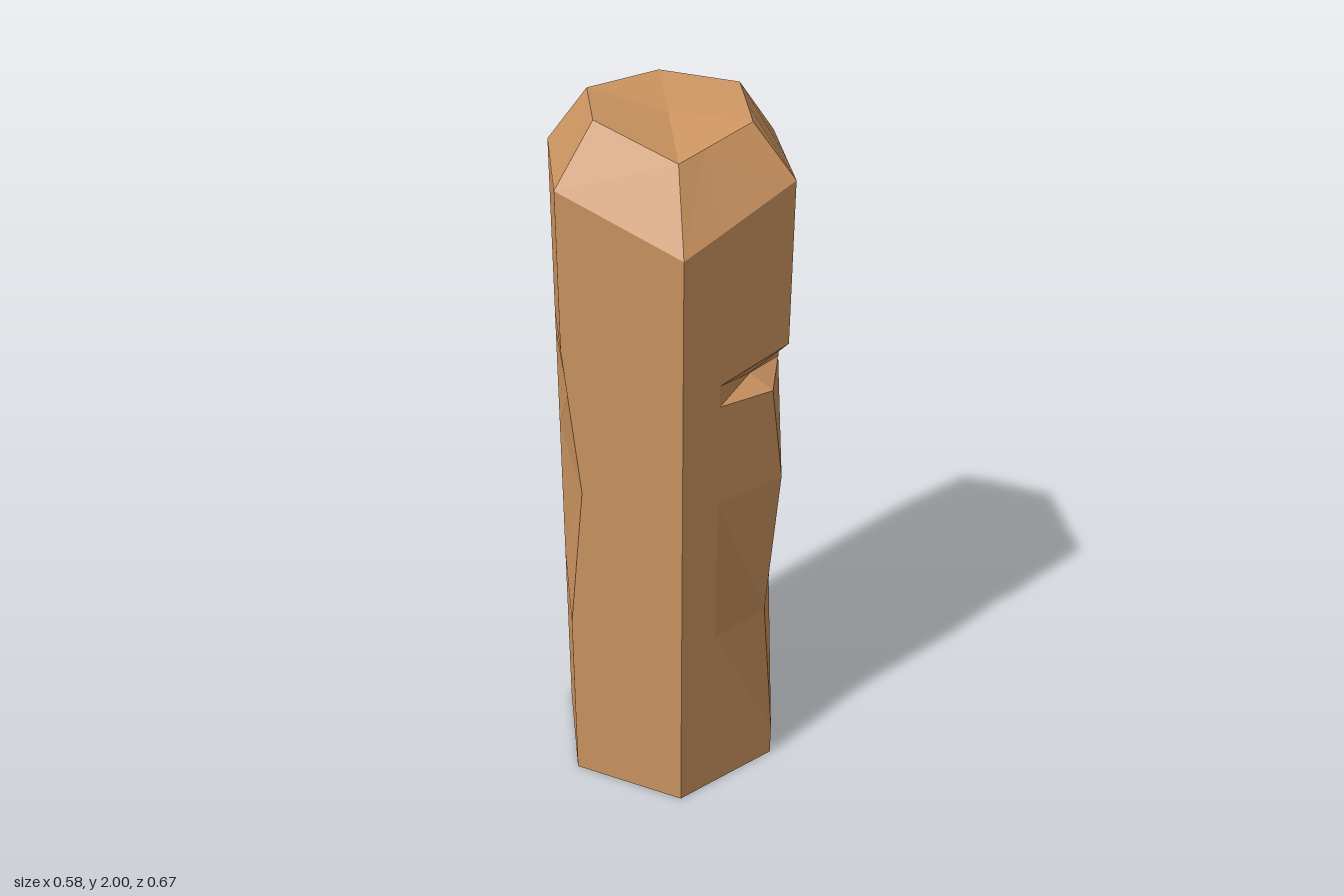
import * as THREE from 'three';

// Linear interpolation through [y, value] keys
function track(keys, y) {
  if (y <= keys[0][0]) return keys[0][1];
  for (let i = 1; i < keys.length; i++) {
    const [y0, v0] = keys[i - 1], [y1, v1] = keys[i];
    if (y <= y1) return THREE.MathUtils.lerp(v0, v1, (y - y0) / (y1 - y0));
  }
  return keys[keys.length - 1][1];
}

// Worn corners of the hexagonal post
const backZ = [[0.5, -0.333], [1, -0.321], [1.85, -0.333]];
const rightBackZ = [[1, -0.167], [1.42, -0.12], [1.85, -0.167]];
const leftFrontX = [[0.56, -0.29], [1, -0.25], [1.42, -0.29]];

// One cross-section, clockwise from the back; the notched right front corner
// is carried by three points so a wedge can be cut between the outer two.
function ring(y, corner = [0.29, y, 0.167]) {
  const lx = track(leftFrontX, y);
  return [
    [0, y, track(backZ, y)],
    [0.29, y, track(rightBackZ, y)],
    [0.29, y, 0.03],
    corner,
    [0.1, y, 0.275],
    [0, y, 0.333],
    [lx, y, 0.333 + lx * 0.575],
    [-0.29, y, -0.167],
  ];
}

function postGeometry() {
  // Chamfered top: shoulder and rim, both lower at the front
  const shoulder = ring(1.85);
  shoulder[4][1] = 1.77;
  shoulder[5][1] = 1.73;
  const rim = [
    [0, 2, -0.22], [0.19, 2, -0.11], [0.19, 1.99, 0.02], [0.19, 1.98, 0.11],
    [0.066, 1.944, 0.18], [0, 1.925, 0.217], [-0.19, 2, 0.11], [-0.19, 2, -0.11],
  ];
  const rings = [
    ring(0),
    ring(0.1),
    ring(0.55, [0.255, 0.55, 0.167]),
    ring(1, [0.287, 1, 0.167]),
    ring(1.288, [0.25, 1.282, 0.189]), // notch lower lip
    ring(1.294, [0.195, 1.318, 0.152]), // notch bottom
    ring(1.355, [0.29, 1.405, 0.167]), // notch upper lip
    ring(1.42),
    shoulder,
    rim,
  ];

  const n = 8;
  const positions = rings.flat(2);
  const index = [];
  for (let r = 0; r < rings.length - 1; r++) {
    for (let i = 0; i < n; i++) {
      const a = r * n + i, b = r * n + (i + 1) % n, a2 = a + n, b2 = b + n;
      // Mirror the diagonal on the front side of the notch
      if (i === 3) index.push(b, a, b2, a, a2, b2);
      else index.push(b, a, a2, b, a2, b2);
    }
  }

  // Bottom and slightly hollow top
  const top = (rings.length - 1) * n;
  const bottomCentre = rings.length * n, topCentre = bottomCentre + 1;
  positions.push(0, 0, 0, 0, 1.972, 0);
  for (let i = 0; i < n; i++) {
    const j = (i + 1) % n;
    index.push(bottomCentre, i, j, topCentre, top + j, top + i);
  }

  const indexed = new THREE.BufferGeometry();
  indexed.setAttribute('position', new THREE.Float32BufferAttribute(positions, 3));
  indexed.setIndex(index);
  const geometry = indexed.toNonIndexed();
  geometry.computeVertexNormals();
  return geometry;
}

export function createModel() {
  const group = new THREE.Group();
  group.name = 'woodenPost';
  const wood = new THREE.MeshStandardMaterial({ color: 0xcc9460, flatShading: true });
  const post = new THREE.Mesh(postGeometry(), wood);
  post.name = 'notchedPost';
  group.add(post);
  return group;
}
